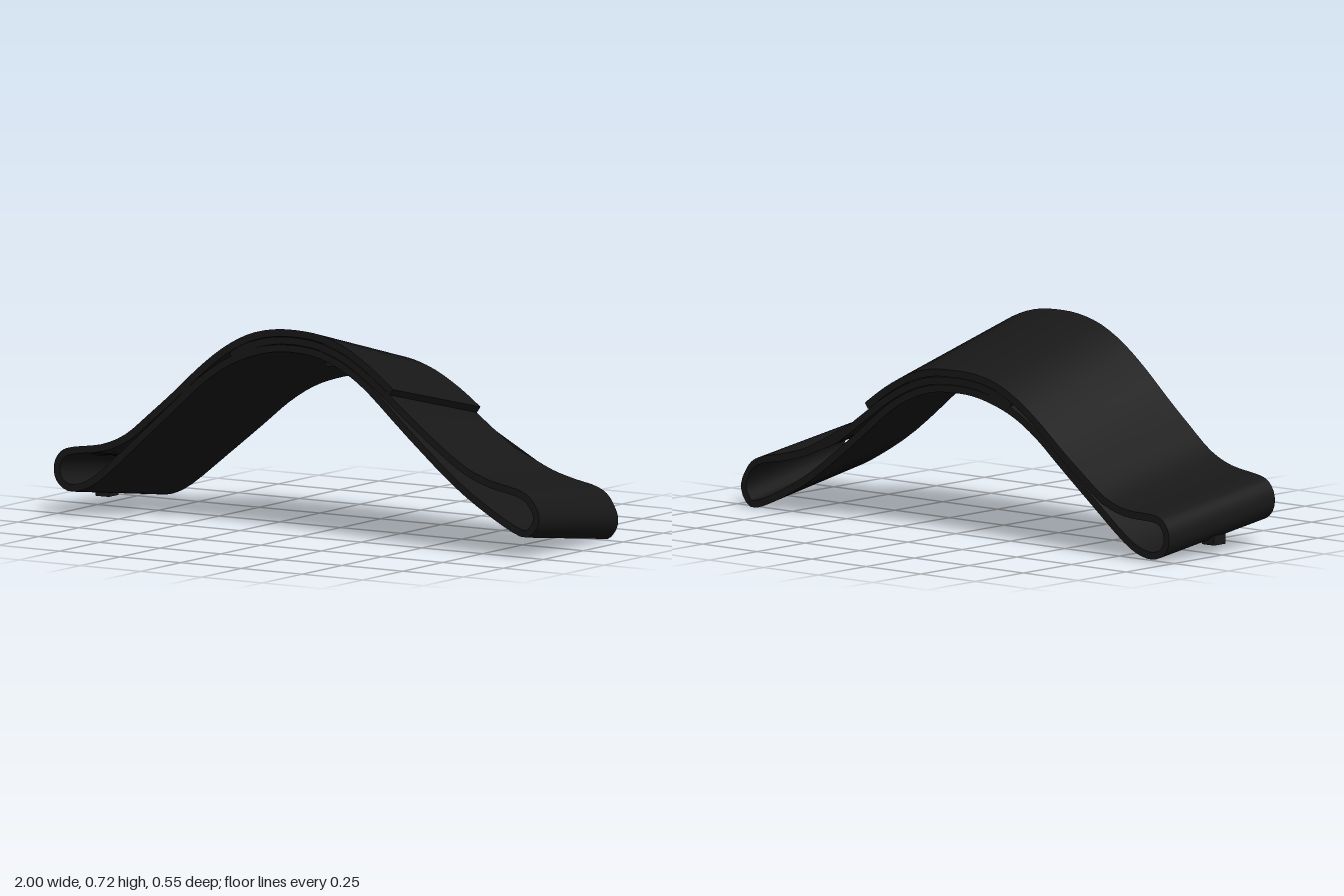
import * as THREE from 'three';
import { toCreasedNormals } from 'three/addons/utils/BufferGeometryUtils.js';

const WIDTH = 0.55, THICK = 0.025;

// Centre line of the band at its front edge: tucked end, +x loop, underside, -x loop, top flap
const TUCKED = [[-0.27, 0.61], [-0.2, 0.648], [-0.1, 0.675], [0, 0.68], [0.1, 0.668],
  [0.2, 0.631], [0.3, 0.571], [0.39, 0.502], [0.5, 0.417], [0.6, 0.345], [0.7, 0.283], [0.8, 0.247]];
const LOOP_LEFT = [[0.9, 0.228], [0.955, 0.203], [0.986, 0.15], [0.97, 0.105], [0.925, 0.088]];
const UNDERSIDE = [[0.8, 0.148], [0.65, 0.243], [0.46, 0.397], [0.3, 0.535], [0.2, 0.6], [0.1, 0.64],
  [0, 0.653], [-0.1, 0.648], [-0.2, 0.622], [-0.3, 0.578], [-0.4, 0.509], [-0.5, 0.42], [-0.65, 0.287], [-0.8, 0.155]];
const LOOP_RIGHT = [[-0.88, 0.107], [-0.94, 0.098], [-0.979, 0.125], [-0.987, 0.17], [-0.965, 0.21], [-0.92, 0.228]];
const FLAP = [[-0.8, 0.247], [-0.7, 0.29], [-0.6, 0.37], [-0.5, 0.455], [-0.4, 0.545], [-0.3, 0.622],
  [-0.2, 0.676], [-0.1, 0.702], [0, 0.707], [0.1, 0.697], [0.2, 0.662], [0.3, 0.603], [0.39, 0.535]];

// The band droops towards the back, most at the crown; its +x end is cut slightly askew
// and the top of the +x loop gapes open a little at the back
function skew(geometry) {
  const p = geometry.attributes.position;
  for (let i = 0; i < p.count; i++) {
    const x = p.getX(i), y = p.getY(i);
    const back = (WIDTH / 2 - p.getZ(i)) / WIDTH;
    const droop = 0.147 - 0.073 * Math.min(1, 1.1 * Math.abs(x) ** 1.5);
    const upper = y > 0.2 - 0.55 * (x - 0.8);
    const gape = upper ? 0.03 * Math.max(0, 1 - ((x - 0.76) / 0.22) ** 2) : 0;
    p.setY(i, y - (droop - gape) * back);
    p.setX(i, x - 0.036 * Math.max(0, x) ** 3 * back);
  }
  return geometry;
}

// Flat band of even thickness following a path
function bandGeometry(points, samples) {
  const curve = new THREE.SplineCurve(points.map(([x, y]) => new THREE.Vector2(x, y)));
  const outer = [], inner = [];
  for (let i = 0; i <= samples; i++) {
    const t = i / samples;
    const c = curve.getPoint(t), d = curve.getTangent(t);
    const n = new THREE.Vector2(-d.y, d.x).multiplyScalar(THICK / 2);
    outer.push(c.clone().add(n));
    inner.push(c.clone().sub(n));
  }
  const shape = new THREE.Shape([...outer, ...inner.reverse()]);
  const geometry = new THREE.ExtrudeGeometry(shape, { depth: WIDTH, bevelEnabled: false });
  geometry.translate(0, 0, -WIDTH / 2);
  return toCreasedNormals(skew(geometry), Math.PI / 5);
}

export function createModel() {
  const model = new THREE.Group();
  model.name = 'loopedStrap';
  const material = new THREE.MeshStandardMaterial({ color: 0x181818 });

  const add = (name, geometry, x = 0, y = 0, z = 0) => {
    const mesh = new THREE.Mesh(geometry, material);
    mesh.name = name;
    mesh.position.set(x, y, z);
    model.add(mesh);
  };

  const path = [...TUCKED, ...LOOP_LEFT, ...UNDERSIDE, ...LOOP_RIGHT, ...FLAP];
  add('strap', bandGeometry(path, (path.length - 1) * 3));

  // Small tabs under the -x loop and the crown
  add('loopTab', new THREE.BoxGeometry(0.055, 0.035, 0.06), -0.962, 0.0525, 0);
  add('crownTab', new THREE.BoxGeometry(0.05, 0.02, 0.05), -0.025, 0.571, 0);

  return model;
}
